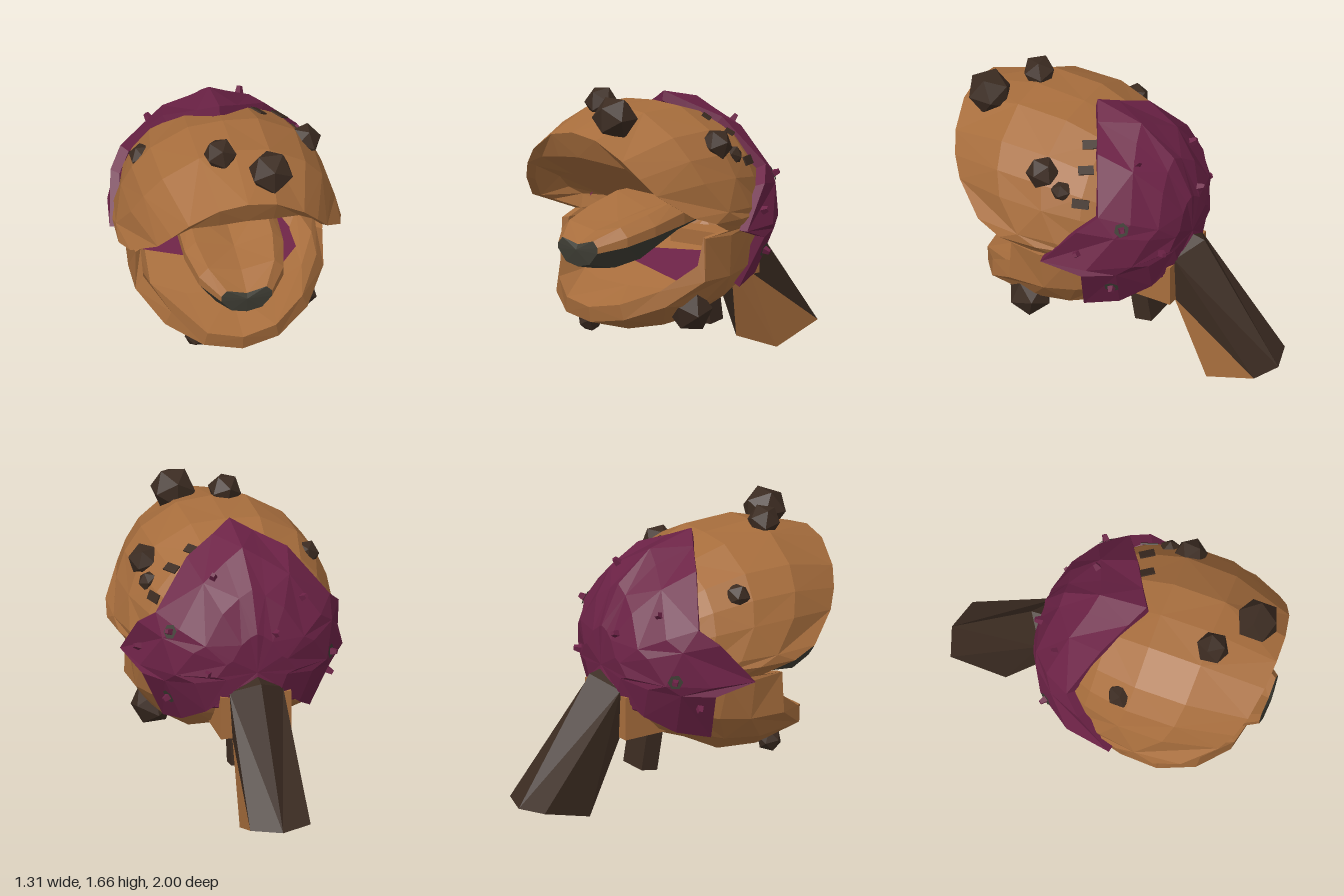
import * as THREE from 'three';

const V = (x, y, z) => new THREE.Vector3(x, y, z);
const C = V(0, 0.88, 0.1); // middle of the head

const mat = (name, color) => {
  const m = new THREE.MeshStandardMaterial({ color, flatShading: true, side: THREE.DoubleSide });
  m.name = name;
  return m;
};

// Faceted geometry from a flat list of triangle corners
function facets(points) {
  const g = new THREE.BufferGeometry().setFromPoints(points);
  g.computeVertexNormals();
  return g;
}

// Skin between successive rings of points
function skin(rings, closed = true, flip = false) {
  const out = [];
  for (let i = 0; i < rings.length - 1; i++) {
    const n = rings[i].length;
    for (let j = 0; j < (closed ? n : n - 1); j++) {
      const k = (j + 1) % n;
      const a = rings[i][j], b = rings[i][k], c = rings[i + 1][k], d = rings[i + 1][j];
      const tris = (i + j) % 2 ? [a, d, c, a, c, b] : [a, d, b, b, d, c];
      if (flip) tris.reverse();
      out.push(...tris);
    }
  }
  return facets(out);
}

// Full outline from its +x half, listed from top centre to bottom centre
function mirrorLoop(half) {
  const right = half.map(p => V(...p));
  const left = right.slice(1, -1).reverse().map(p => V(-p.x, p.y, p.z));
  return [...right, ...left];
}

// Rings sweeping around the head from a point at the back to an outline
function sweep(rim, backRadius, power, steps, adjust = p => p) {
  const back = V(0, 0, -1);
  const rings = [];
  for (let i = 0; i <= steps; i++) {
    const t = i / steps;
    rings.push(rim.map(p => {
      const off = p.clone().sub(C), r = off.length();
      const dir = off.divideScalar(r);
      const angle = back.angleTo(dir);
      const side = dir.clone().addScaledVector(back, -dir.dot(back)).normalize();
      const radius = backRadius + (r - backRadius) * Math.pow(t, power(side));
      return adjust(C.clone()
        .addScaledVector(back, Math.cos(angle * t) * radius)
        .addScaledVector(side, Math.sin(angle * t) * radius));
    }));
  }
  return rings;
}

// Where the line from the head's middle through a point leaves a surface
function surfaceSpot(mesh, p) {
  const dir = V(...p).sub(C).normalize();
  const ray = new THREE.Raycaster(C.clone().addScaledVector(dir, 2), dir.clone().negate());
  const hit = ray.intersectObject(mesh)[0];
  const normal = hit.face.normal.clone();
  if (normal.dot(dir) < 0) normal.negate();
  return { point: hit.point, normal };
}

export function createModel() {
  const root = new THREE.Group();
  const tan = mat('tan skin', 0xa86e3d);
  const dark = mat('dark bark', 0x3b2b21);
  const purple = mat('purple leaf', 0x6c2246);
  const olive = mat('dark olive', 0x3e3d34);
  const add = (name, geometry, material, parent = root) => {
    const m = new THREE.Mesh(geometry, material);
    m.name = name;
    parent.add(m);
    return m;
  };

  // Head: outer shell with full upper sides, wedge-shaped mouth and the lip joining them
  const mouthRim = mirrorLoop([
    [0, 1.45, 1.0], [0.17, 1.42, 0.99], [0.34, 1.31, 0.95], [0.43, 1.21, 0.9], [0.5, 1.11, 0.83],
    [0.62, 0.97, 0.64], [0.655, 0.92, 0.48], [0.59, 0.85, 0.3], [0.55, 0.82, 0.46],
    [0.555, 0.57, 0.47], [0.42, 0.43, 0.66], [0.22, 0.35, 0.8], [0, 0.32, 0.84],
  ]);
  const floorY = z => 0.62 - 0.25 * z;
  const roofY = (x, z) => 0.9 + 0.42 * z - 0.06 * Math.abs(x);
  const fullness = side => 3.2 - 1.2 * Math.abs(side.x) * Math.max(side.y, 0);
  const outer = sweep(mouthRim, 0.5, fullness, 7, p => {
    p.y = Math.max(p.y, Math.min(0.47, 0.415 - 0.5 * p.z));
    return p;
  });
  const innerRim = mouthRim.map(p => p.y < 0.6
    ? V(p.x * 0.92, p.y + 0.09, p.z + 0.015)
    : p.clone().sub(C).multiplyScalar(0.94).add(C));
  const inner = sweep(innerRim, 0.42, () => 2, 6, p => {
    p.y = Math.max(Math.min(p.y, roofY(p.x, p.z)), floorY(p.z));
    return p;
  });
  const head = add('head', skin(outer), tan);
  add('mouthInside', skin(inner, true, true), tan);
  add('lip', skin([outer.at(-1), inner.at(-1)]), tan);

  // Underside block joining head and stem
  add('neck', new THREE.BoxGeometry(0.42, 0.26, 0.3), tan).position.set(0, 0.6, -0.25);

  // Purple patch lying on the mouth floor
  const patch = [[0.4, -0.08], [0.46, 0.03], [0.43, 0.12], [0.44, 0.25], [0.3, 0.4], [-0.45, 0.13], [-0.43, 0.06]]
    .map(([x, z]) => V(x, floorY(z) + 0.008, z));
  add('mouthPatch', facets([1, 2, 3, 4, 5].flatMap(i => [patch[0], patch[i + 1], patch[i]])), purple);

  // Dark strips deep in the mouth and olive slivers under the leaf's side points
  for (const s of [-1, 1]) {
    const strip = add('mouthStrip', new THREE.BoxGeometry(0.09, 0.008, 0.08), dark);
    strip.position.set(s * 0.33, roofY(0.33, -0.05) - 0.006, -0.05);
    strip.rotation.x = -Math.atan(0.42);
  }

  // Tongue: two-lobed top and olive underside
  const sections = [ // z, half width, centre y, lobe y, edge y, bottom y
    [-0.1, 0.2, 0.95, 1.02, 0.9, 0.84],
    [0.35, 0.29, 0.92, 1.0, 0.86, 0.77],
    [0.6, 0.29, 0.88, 0.94, 0.82, 0.66],
    [0.8, 0.25, 0.85, 0.89, 0.78, 0.63],
    [0.95, 0.15, 0.79, 0.82, 0.75, 0.66],
  ];
  const tongue = new THREE.Group();
  tongue.name = 'tongue';
  root.add(tongue);
  const tops = sections.map(([z, w, yc, yl, ye]) => [
    V(-w, ye, z), V(-w, (yl + ye) / 2, z), V(-0.78 * w, yl, z), V(0, yc, z),
    V(0.78 * w, yl, z), V(w, (yl + ye) / 2, z), V(w, ye, z)]);
  const bottoms = sections.map(([z, w, , , ye, yb]) => [
    V(w, ye, z), V(0.6 * w, yb + 0.02, z), V(0, yb, z), V(-0.6 * w, yb + 0.02, z), V(-w, ye, z)]);
  add('tongueTop', skin(tops, false), tan, tongue);
  add('tongueUnderside', skin(bottoms, false), olive, tongue);
  const tip = [...tops.at(-1), ...bottoms.at(-1).slice(1, -1)];
  const tipPoint = V(0, 0.76, 0.965);
  add('tongueTip', skin([tip, tip.map(() => tipPoint)]), olive, tongue);

  // Pointed leaf draped over the back of the head, with a thick edge
  const leafRim = mirrorLoop([
    [0, 1.59, 0.2], [0.12, 1.53, 0.13], [0.3, 1.45, 0.03], [0.52, 1.18, -0.1],
    [0.6, 1.09, 0.0], [0.65, 0.84, 0.21], [0.58, 0.77, -0.02], [0.44, 0.47, 0.04],
    [0.37, 0.59, -0.2], [0.17, 0.66, -0.38], [0, 0.68, -0.44],
  ]);
  const leaf = add('leaf', skin(sweep(leafRim, 0.53, () => 1, 4)), purple);
  const leafInner = leafRim.map(p => p.clone().sub(C).multiplyScalar(0.92).add(C).add(V(0, 0, 0.02)));
  add('leafEdge', skin([leafRim, leafInner]), purple);

  // Small thorns on the leaf, a few with an olive ring at the base
  [[0.45, 0.67, -0.15], [0.46, 1.1, -0.22], [-0.46, 0.88, -0.22], [0.2, 1.4, -0.18],
    [0.6, 0.93, 0], [0.27, 0.88, -0.36], [-0.33, 1.25, -0.25],
    [-0.5, 0.7, -0.08], [-0.12, 1.1, -0.4]].forEach((p, i) => {
    const { point, normal } = surfaceSpot(leaf, p);
    const thorn = add('thorn', new THREE.CylinderGeometry(0.016, 0.03, 0.06, 4), purple);
    thorn.position.copy(point).addScaledVector(normal, 0.012);
    thorn.quaternion.setFromUnitVectors(V(0, 1, 0), normal);
    if (i > 2) return;
    const base = add('thornBase', new THREE.CircleGeometry(0.045, 6), olive);
    base.position.copy(point).addScaledVector(normal, 0.004);
    base.quaternion.setFromUnitVectors(V(0, 0, 1), normal);
  });

  // Dark marks beside the leaf
  [[0.24, 1.45, 0.1, 0.11], [0.38, 1.37, 0.06, 0.09], [0.5, 1.22, 0.03, 0.1]].forEach(([x, y, z, size]) => {
    const { point, normal } = surfaceSpot(head, [x, y, z]);
    const mark = add('mark', new THREE.BoxGeometry(size, 0.055, 0.009), dark);
    mark.position.copy(point).addScaledVector(normal, 0.005);
    mark.lookAt(mark.position.clone().add(normal));
  });

  // Faceted lumps
  [[0.17, 1.53, 0.82, 0.135], [-0.09, 1.57, 0.64, 0.1], [0.48, 1.34, 0.29, 0.1],
    [0.49, 1.26, 0.16, 0.065], [-0.46, 1.31, 0.21, 0.08], [0.4, 0.38, 0.42, 0.13],
    [-0.22, 0.28, 0.59, 0.075]].forEach(([x, y, z, r], i) => {
    const lump = add('lump', new THREE.IcosahedronGeometry(r), dark);
    lump.position.set(x, y, z);
    lump.rotation.set(i * 0.9, i * 1.7, i * 0.5);
  });

  // Stem: bark on top and sides, tan over most of the underside
  const ring = (ridge, up, low) => [V(-low[0], low[1], low[2]), V(-up[0], up[1], up[2]),
    V(...ridge), V(...up), V(...low)];
  const s = ring([0, 0.84, -0.51], [0.16, 0.76, -0.4], [0.14, 0.47, -0.39]);
  const e = ring([0, 0.11, -1.0], [0.18, 0.12, -0.94], [0.155, 0, -0.61]);
  e[0].y = 0.03;
  const neckTop = V(0, 0.87, -0.36), under = V(0, 0.47, -0.39);
  const stem = new THREE.Group();
  stem.name = 'stem';
  root.add(stem);
  add('stemBark', skin([s.slice(0, 4), e.slice(0, 4)], false), dark, stem);
  add('stemSide', facets([s[4], s[3], e[3], s[0], under, e[0]]), dark, stem);
  add('stemTop', facets([s[1], neckTop, s[2], s[2], neckTop, s[3]]), dark, stem);
  add('stemEnd', facets([1, 2, 3].flatMap(i => [e[0], e[i], e[i + 1]])), dark, stem);
  add('stemUnderside', facets([s[4], e[3], e[4], under, s[4], e[4], under, e[4], e[0]]), tan, stem);

  // Short root under the head
  const stub = add('shortRoot', new THREE.BoxGeometry(0.19, 0.32, 0.11), dark);
  stub.position.set(0, 0.36, -0.13);
  stub.rotation.x = 0.17;

  return root;
}
